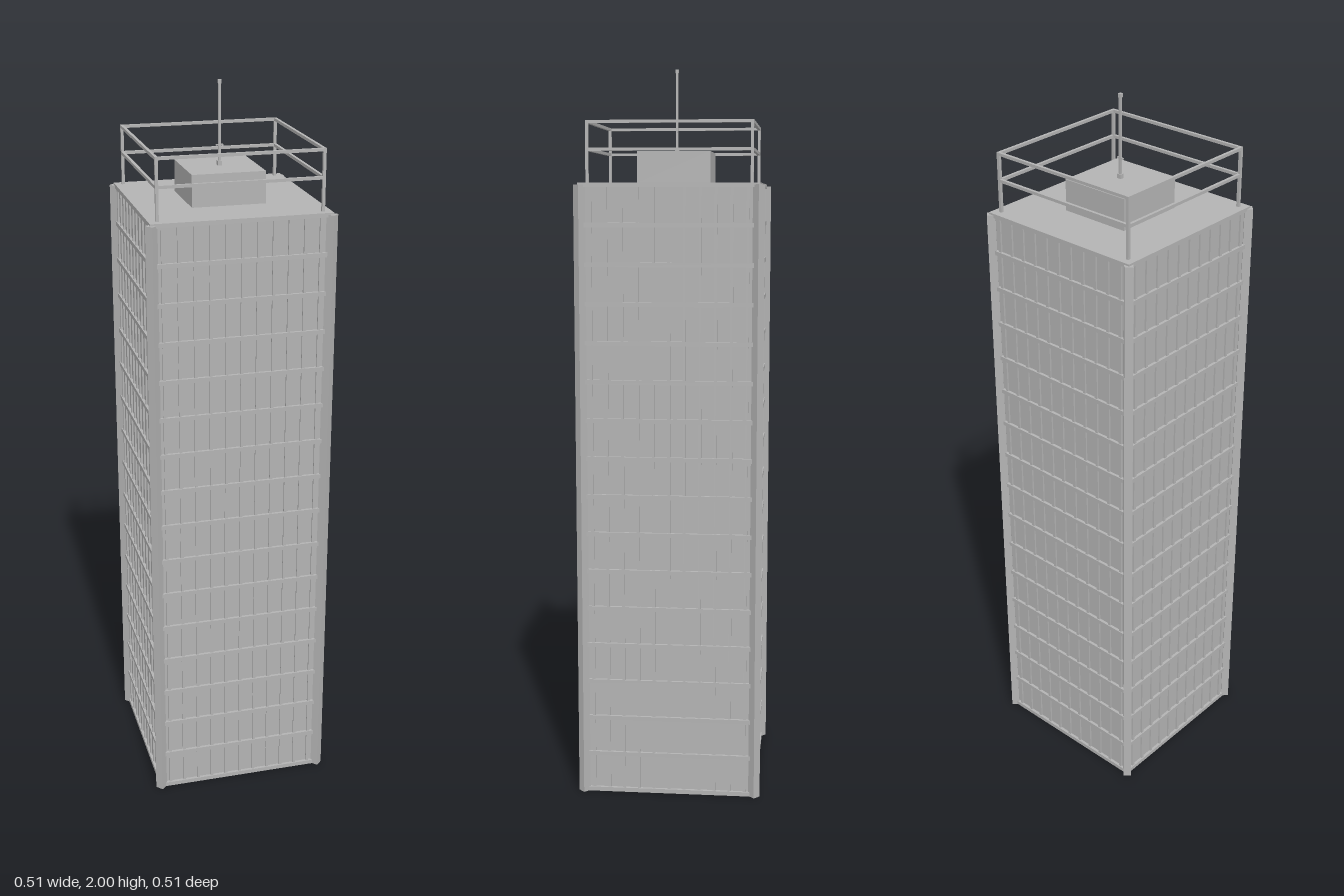
import * as THREE from 'three';

export function createModel() {
  const model = new THREE.Group();
  model.name = 'officeTower';
  const concrete = new THREE.MeshStandardMaterial({ color: 0xb3b3b3 });
  concrete.name = 'concrete grey';

  // Box given by its centre x/z and its bottom height
  const box = (name, w, h, d, x, y, z, parent = model) => {
    const mesh = new THREE.Mesh(new THREE.BoxGeometry(w, h, d), concrete);
    mesh.name = name;
    mesh.position.set(x, y + h / 2, z);
    parent.add(mesh);
    return mesh;
  };

  const roofY = 1.69, floors = 16, half = 0.242;

  // Recessed core wall
  box('coreWall', 0.468, roofY - 0.004, 0.468, 0, 0.002, 0);

  // Floor slabs, from the ground slab to the roof
  const slabs = new THREE.Group();
  slabs.name = 'floorSlabs';
  model.add(slabs);
  const slabH = 0.012;
  for (let i = 0; i <= floors; i++) {
    box('floorSlab', half * 2, slabH, half * 2, 0, (i * (roofY - slabH)) / floors, 0, slabs);
  }

  // Window mullions on the four sides
  for (let side = 0; side < 4; side++) {
    const facade = new THREE.Group();
    facade.name = 'facadeMullions';
    facade.rotation.y = (side * Math.PI) / 2;
    model.add(facade);
    for (let i = -5; i <= 5; i++) {
      box('mullion', 0.008, roofY - 0.01, 0.008, i * 0.042, 0.005, 0.235, facade);
    }
  }

  // Corner columns, turned by 45 degrees, and railing posts
  const railing = new THREE.Group();
  railing.name = 'roofRailing';
  model.add(railing);
  const bar = 0.008, r = 0.219;
  for (const sx of [-1, 1]) {
    for (const sz of [-1, 1]) {
      const column = box('cornerColumn', 0.0226, 1.685, 0.0226, sx * 0.238, 0, sz * 0.238);
      column.rotation.y = Math.PI / 4;
      box('railingPost', bar, 0.163, bar, sx * r, roofY, sz * r, railing);
    }
  }

  // Two levels of rails
  for (const y of [1.773, 1.845]) {
    for (const s of [-1, 1]) {
      box('rail', r * 2 + bar, bar, bar, 0, y, s * r, railing);
      box('rail', bar, bar, r * 2 + bar, s * r, y, 0, railing);
    }
  }

  // Rooftop plant room with a thin vent plate on the front
  box('plantRoom', 0.2, 0.086, 0.2, 0, roofY, 0);
  box('ventPlate', 0.08, 0.03, 0.004, 0, 1.717, 0.101);

  // Antenna with base, short crossbar and tip
  box('antennaBase', 0.012, 0.012, 0.012, 0, 1.776, 0);
  box('antennaMast', 0.006, 0.215, 0.006, 0, 1.78, 0);
  box('antennaCrossbar', 0.02, 0.004, 0.004, 0, 1.828, 0);
  box('antennaTip', 0.009, 0.01, 0.009, 0, 1.99, 0);

  return model;
}
